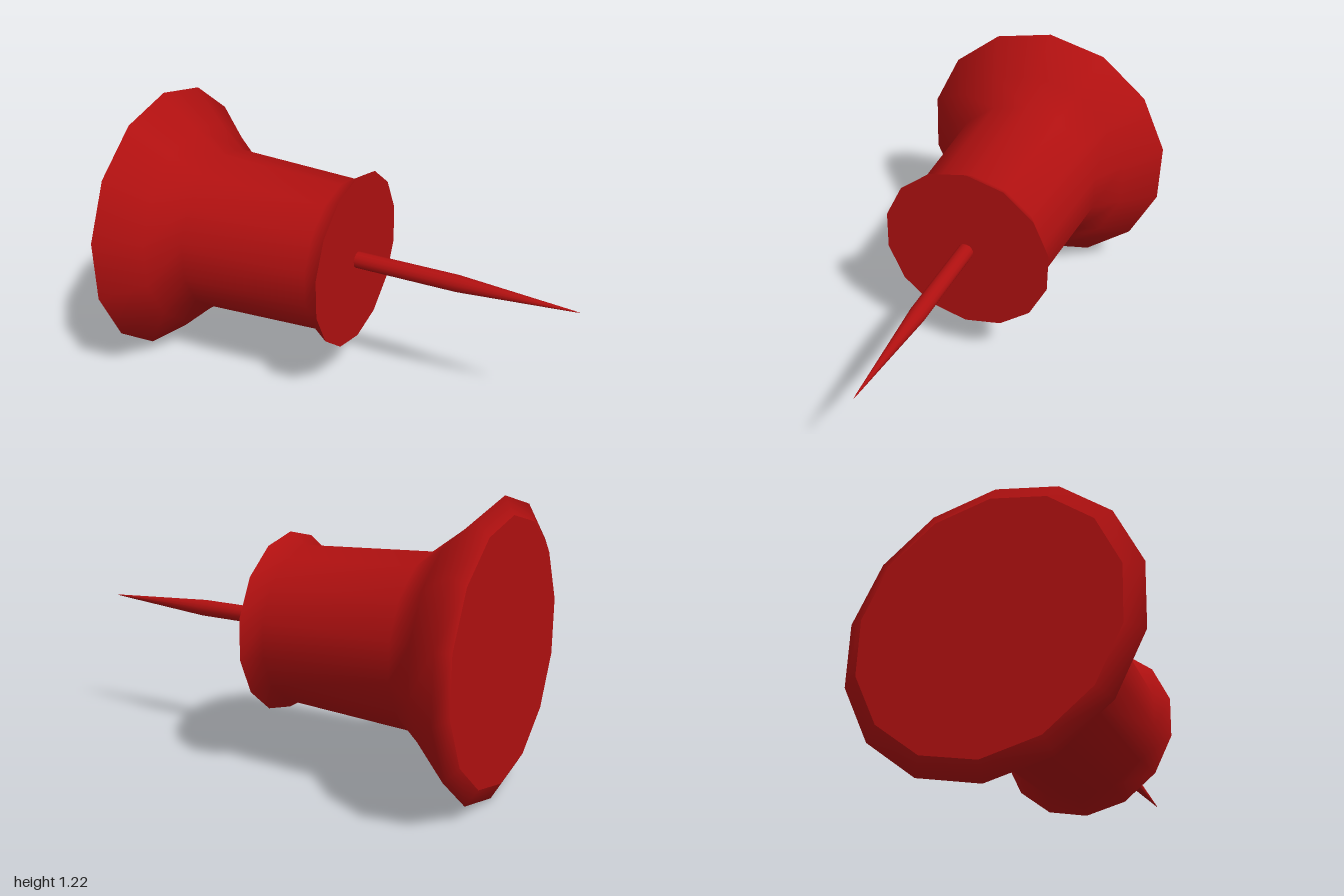
import * as THREE from 'three';

const SIDES = 14;
const red = new THREE.MeshStandardMaterial({ color: 0xb01010 });

// Turned part around the pin axis; profile pairs are [position along x, radius]
function turned(name, profile) {
  const points = profile.map(([x, r]) => new THREE.Vector2(r, x));
  const geometry = new THREE.LatheGeometry(points, SIDES, Math.PI / 2, Math.PI * 2);
  geometry.rotateZ(-Math.PI / 2);
  const mesh = new THREE.Mesh(geometry, red);
  mesh.name = name;
  return mesh;
}

export function createModel() {
  const pin = new THREE.Group();
  pin.name = 'pushPin';

  // Handle: bevelled head, flare, tapering grip and collar
  pin.add(turned('handle', [
    [-1, 0.54], [-0.96, 0.612], [-0.8, 0.468], [-0.67, 0.37], [-0.08, 0.343], [0, 0.394],
  ]));

  // Flat ends, kept separate for crisp edges
  pin.add(turned('headCap', [[-1, 0], [-1, 0.54]]));
  pin.add(turned('collarFace', [[0, 0.394], [0, 0]]));

  // Needle: straight shank, then a long taper to the point
  pin.add(turned('needle', [[0, 0.037], [0.47, 0.037], [0.97, 0.003], [1, 0]]));

  // Lying on its side, the head rim touching the ground
  pin.position.y = 0.612;
  const model = new THREE.Group();
  model.add(pin);
  return model;
}
